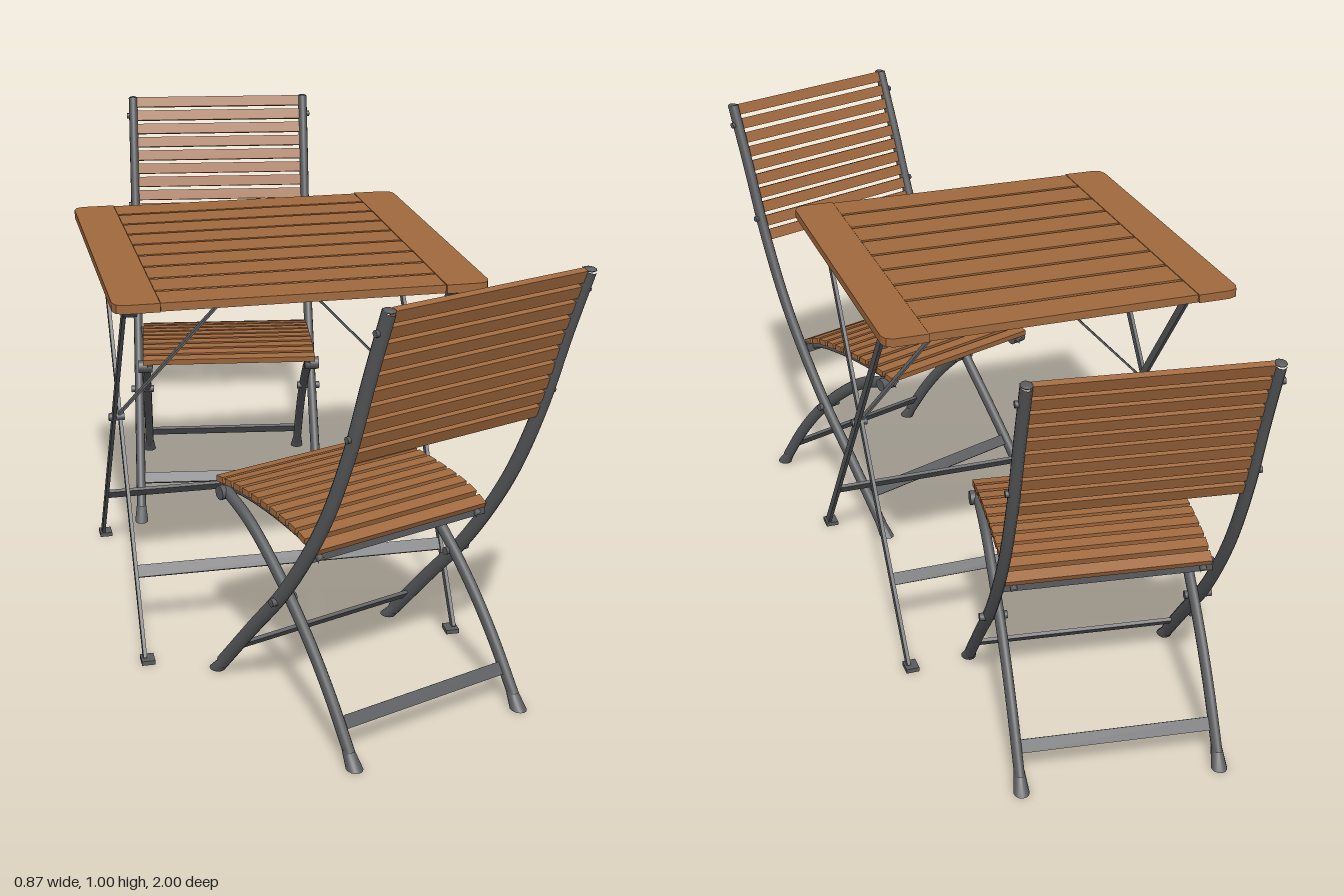
import * as THREE from 'three';

const wood = new THREE.MeshStandardMaterial({ color: 0xa0693e });
wood.name = 'oiled wood';
const metal = new THREE.MeshStandardMaterial({ color: 0x5a5b5e });
metal.name = 'grey metal';

function add(parent, name, geometry, material, x = 0, y = 0, z = 0) {
  const mesh = new THREE.Mesh(geometry, material);
  mesh.name = name;
  mesh.position.set(x, y, z);
  parent.add(mesh);
  return mesh;
}

// Straight bar of size w (x) by d (z) from a to b
function beam(parent, name, a, b, w, d) {
  const p = new THREE.Vector3(...a), q = new THREE.Vector3(...b);
  const mesh = add(parent, name, new THREE.BoxGeometry(w, p.distanceTo(q), d), metal);
  mesh.position.copy(p).lerp(q, 0.5);
  mesh.quaternion.setFromUnitVectors(new THREE.Vector3(0, 1, 0), q.clone().sub(p).normalize());
  return mesh;
}

// Bolt along x
function bolt(parent, name, x, y, z, r, length) {
  add(parent, name, new THREE.CylinderGeometry(r, r, length, 10), metal, x, y, z).rotation.z = Math.PI / 2;
}

// Curve in the side plane from [z, y] pairs
const sideCurve = pts => new THREE.CatmullRomCurve3(pts.map(([z, y]) => new THREE.Vector3(0, y, z)));

// Point and tilt of a side curve at a given height
function atHeight(curve, y) {
  let best = 0;
  for (let i = 0; i <= 400; i++) {
    if (Math.abs(curve.getPointAt(i / 400).y - y) < Math.abs(curve.getPointAt(best).y - y)) best = i / 400;
  }
  const t = curve.getTangentAt(best);
  return { z: curve.getPointAt(best).z, tilt: -Math.atan2(t.y, t.z), slope: t.z / t.y };
}

const ovalTube = (curve, r, sx) => new THREE.TubeGeometry(curve, 32, r, 12).scale(sx, 1, 1);

// Flared foot cap, sheared to follow the leg
function foot(parent, x, z, slope) {
  const g = new THREE.CylinderGeometry(0.014, 0.02, 0.034, 12).scale(0.85, 1, 1);
  const p = g.attributes.position;
  for (let i = 0; i < p.count; i++) p.setZ(i, p.getZ(i) + p.getY(i) * slope);
  g.computeVertexNormals();
  add(parent, 'footCap', g, metal, x, 0.017, z);
}

function createChair(name) {
  const chair = new THREE.Group();
  chair.name = name;
  const post = sideCurve([[0, 0.995], [0.055, 0.85], [0.115, 0.68], [0.2, 0.5], [0.33, 0.31], [0.46, 0.165], [0.585, 0.025]]);
  const leg = sideCurve([[0.6, 0.43], [0.5, 0.39], [0.385, 0.31], [0.285, 0.22], [0.205, 0.13], [0.128, 0.025]]);
  const seat = sideCurve([[0.25, 0.415], [0.3, 0.436], [0.38, 0.449], [0.48, 0.455], [0.56, 0.453], [0.63, 0.445]]);

  for (const s of [-1, 1]) {
    // Long back posts and curved crossing legs
    add(chair, 'backPost', ovalTube(post, 0.016, 0.75), metal, s * 0.233);
    add(chair, 'postCap', new THREE.SphereGeometry(0.016, 12, 8).scale(0.75, 0.3, 1), metal, s * 0.233, 0.995, 0);
    add(chair, 'crossingLeg', ovalTube(leg, 0.015, 0.75), metal, s * 0.212);
    foot(chair, s * 0.233, 0.592, atHeight(post, 0.03).slope);
    foot(chair, s * 0.212, 0.123, atHeight(leg, 0.03).slope);

    // Seat side rails and pivots
    add(chair, 'seatRail', ovalTube(seat, 0.009, 0.8), metal, s * 0.2, -0.016, 0);
    bolt(chair, 'seatPivot', s * 0.212, 0.425, 0.595, 0.016, 0.036);
    bolt(chair, 'legPivot', s * 0.224, 0.275, 0.355, 0.009, 0.06);
    for (const y of [0.95, 0.72]) bolt(chair, 'backBolt', s * 0.24, y, atHeight(post, y).z, 0.007, 0.022);
  }

  // Back slats
  for (let i = 0; i < 10; i++) {
    const y = 0.676 + i * 0.0342, at = atHeight(post, y);
    add(chair, 'backSlat', new THREE.BoxGeometry(0.446, 0.013, 0.027), wood, 0, y, at.z).rotation.x = at.tilt;
  }

  // Seat slats
  const count = 11;
  for (let i = 0; i < count; i++) {
    const u = (i + 0.5) / count, p = seat.getPointAt(u), t = seat.getTangentAt(u);
    add(chair, 'seatSlat', new THREE.BoxGeometry(0.436, 0.014, 0.026), wood, 0, p.y, p.z).rotation.x = -Math.atan2(t.y, t.z);
  }

  // Cross bars
  add(chair, 'seatRearBar', new THREE.BoxGeometry(0.45, 0.026, 0.01), metal, 0, 0.407, 0.266);
  for (const [curve, y, w] of [[post, 0.088, 0.46], [leg, 0.075, 0.42]]) {
    const at = atHeight(curve, y);
    add(chair, 'lowerBar', new THREE.BoxGeometry(w, 0.008, 0.028), metal, 0, y, at.z).rotation.x = at.tilt;
  }
  return chair;
}

function createTable() {
  const table = new THREE.Group();
  table.name = 'table';
  const half = 0.4, c = 0.025;

  // End boards with clipped outer corners
  for (const s of [-1, 1]) {
    const shape = new THREE.Shape([
      [0.303, -half], [half - 0.024, -half], [half - 0.007, -half + 0.007], [half, -half + 0.024],
      [half, half - 0.024], [half - 0.007, half - 0.007], [half - 0.024, half], [0.303, half],
    ].map(([x, y]) => new THREE.Vector2(s * x, y)));
    const g = new THREE.ExtrudeGeometry(shape, { depth: 0.019, bevelEnabled: false });
    g.rotateX(-Math.PI / 2);
    add(table, 'endBoard', g, wood, 0, 0.836, 0);
  }

  // Top slats
  const pitch = 2 * half / 9;
  for (let i = 0; i < 9; i++) {
    add(table, 'topSlat', new THREE.BoxGeometry(0.604, 0.018, pitch - 0.009), wood, 0, 0.845, (i - 4) * pitch);
  }

  // Rails under the top with slanted ends
  const railShape = new THREE.Shape([[-0.36, 0.836], [-0.33, 0.806], [0.33, 0.806], [0.36, 0.836]]
    .map(([z, y]) => new THREE.Vector2(z, y)));
  const railGeo = new THREE.ExtrudeGeometry(railShape, { depth: 0.028, bevelEnabled: false })
    .translate(0, 0, -0.014).rotateY(-Math.PI / 2);
  for (const s of [-1, 1]) add(table, 'topRail', railGeo, metal, s * 0.357, 0, 0);
  add(table, 'centreRail', new THREE.BoxGeometry(0.028, 0.012, 0.66), metal, 0, 0.83, 0);

  // Crossed folding legs: [top z, foot z, outer x offsets]
  const frames = [[0.275, -0.35, [-0.363, 0.352]], [-0.27, 0.332, [-0.348, 0.366]]];
  for (const [zt, zf, xs] of frames) {
    for (const x of xs) {
      beam(table, 'tableLeg', [x, 0.81, zt], [x, 0.008, zf], 0.008, 0.02);
      add(table, 'footPad', new THREE.BoxGeometry(0.03, 0.01, 0.036), metal, x - 0.006 * Math.sign(x), 0.005, zf);
      bolt(table, 'topPivot', x, 0.815, zt, 0.009, 0.026);
    }
    const k = (0.165 - 0.008) / 0.802, z = zf + (zt - zf) * k;
    const bar = add(table, 'legBar', new THREE.BoxGeometry(xs[1] - xs[0], 0.028, 0.008), metal, (xs[0] + xs[1]) / 2, 0.165, z);
    bar.rotation.x = Math.atan2(zt - zf, 0.802);
  }

  // Pivots and diagonal braces to the middle of the top
  for (const s of [-1, 1]) {
    bolt(table, 'legPivot', s * 0.357, 0.46, 0.003, 0.009, 0.036);
    beam(table, 'brace', [s * 0.352, 0.465, 0.003], [s * 0.01, 0.828, 0.003], 0.005, 0.014);
  }
  table.position.set(-0.03, 0, c);
  return table;
}

export function createModel() {
  const model = new THREE.Group();
  model.name = 'bistroSet';
  model.add(createTable());

  const backChair = createChair('backChair');
  backChair.position.set(0.03, 0, -0.953);
  backChair.rotation.y = -0.14;
  const frontChair = createChair('frontChair');
  frontChair.position.set(0.21, 0, 0.899);
  frontChair.rotation.y = Math.PI + 0.366;
  model.add(backChair, frontChair);
  return model;
}
